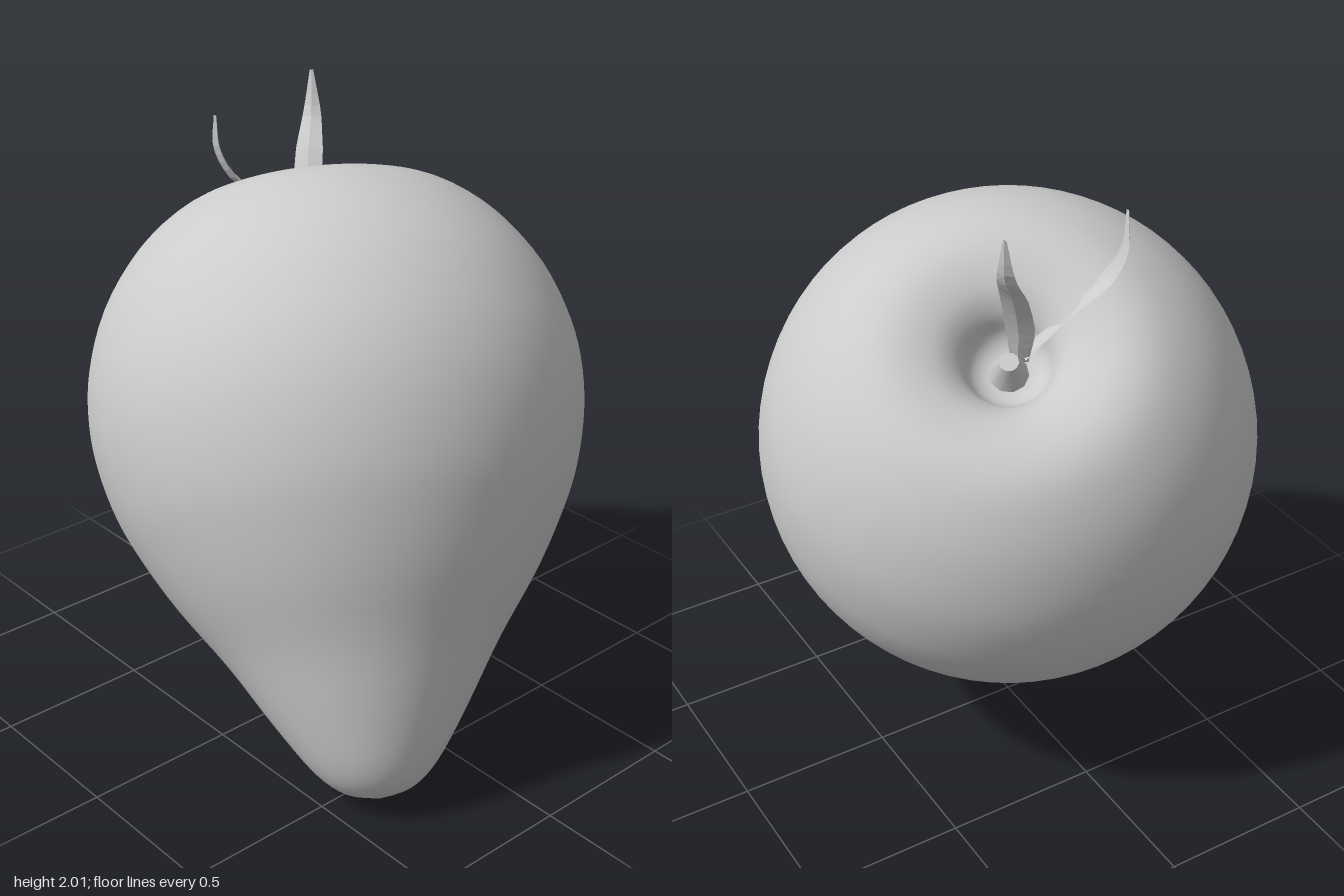
import * as THREE from 'three';

const material = new THREE.MeshStandardMaterial({ color: 0xcccccc });
const leafMaterial = new THREE.MeshStandardMaterial({ color: 0xcccccc, side: THREE.DoubleSide, flatShading: true });
const v = (a) => new THREE.Vector3(...a);

// Curved leaf: thin diamond cross-sections swept along a spline
function makeLeaf(name, path, across, widths) {
  const curve = new THREE.CatmullRomCurve3(path.map(v));
  const steps = 14, pos = [], index = [];
  for (let i = 0; i <= steps; i++) {
    const t = i / steps, c = curve.getPoint(t), tan = curve.getTangent(t);
    const side = v(across).addScaledVector(tan, -v(across).dot(tan)).normalize();
    const out = new THREE.Vector3().crossVectors(side, tan);
    const k = t * (widths.length - 1), j = Math.min(Math.floor(k), widths.length - 2);
    const w = THREE.MathUtils.lerp(widths[j], widths[j + 1], k - j), h = Math.min(0.01, w * 0.4);
    for (const [a, b] of [[w, 0], [0, h], [-w, 0], [0, -h]]) {
      pos.push(...c.clone().addScaledVector(side, a).addScaledVector(out, b).toArray());
    }
    if (i === steps) continue;
    for (let s = 0; s < 4; s++) {
      const p = i * 4 + s, q = i * 4 + (s + 1) % 4;
      index.push(p, q, p + 4, q, q + 4, p + 4);
    }
  }
  const geo = new THREE.BufferGeometry();
  geo.setAttribute('position', new THREE.Float32BufferAttribute(pos, 3));
  geo.setIndex(index);
  geo.computeVertexNormals();
  const mesh = new THREE.Mesh(geo, leafMaterial);
  mesh.name = name;
  return mesh;
}

export function createModel() {
  const model = new THREE.Group();
  model.name = 'strawberry';

  // Fruit is turned around a leaning axis, tip down to the front left
  const fruit = new THREE.Group();
  fruit.name = 'fruit';
  fruit.position.set(0, 1.05, 0);
  fruit.quaternion.setFromUnitVectors(new THREE.Vector3(0, 1, 0), new THREE.Vector3(-0.506, 0.808, -0.302).normalize());
  model.add(fruit);

  // Radius and height from the tip, over the shoulder, into the stem pit
  const profile = new THREE.SplineCurve([
    [0, -1.25], [0.1, -1.228], [0.19, -1.155], [0.3, -1.0], [0.427, -0.8],
    [0.564, -0.61], [0.66, -0.45], [0.727, -0.31], [0.773, -0.15], [0.79, 0],
    [0.775, 0.16], [0.715, 0.345], [0.6, 0.52], [0.46, 0.64], [0.34, 0.678],
    [0.22, 0.655], [0.15, 0.6], [0.115, 0.535], [0.07, 0.505], [0, 0.5],
  ].map(([r, y]) => new THREE.Vector2(r, y)));
  const points = profile.getPoints(76);
  points.forEach((p) => { p.x = Math.max(p.x, 0); });
  const body = new THREE.Mesh(new THREE.LatheGeometry(points, 72), material);
  body.name = 'berryBody';
  fruit.add(body);

  // Stem stub at the bottom of the pit
  const stub = new THREE.Mesh(new THREE.CylinderGeometry(0.03, 0.065, 0.1, 10), material);
  stub.name = 'stemStub';
  stub.position.y = 0.54;
  fruit.add(stub);

  // Two thin leaves rising out of the pit
  model.add(makeLeaf('backLeaf',
    [[-0.26, 1.5, -0.12], [-0.31, 1.64, -0.15], [-0.36, 1.77, -0.2], [-0.41, 1.87, -0.255], [-0.435, 2.0, -0.275]],
    [0.8, 0, -0.5], [0.03, 0.05, 0.045, 0.03, 0.006]));
  model.add(makeLeaf('frontLeaf',
    [[-0.27, 1.51, -0.11], [-0.31, 1.64, 0.01], [-0.36, 1.75, 0.12], [-0.38, 1.84, 0.16], [-0.365, 1.95, 0.175]],
    [1, 0, 0.3], [0.025, 0.035, 0.04, 0.03, 0.01]));

  return model;
}
